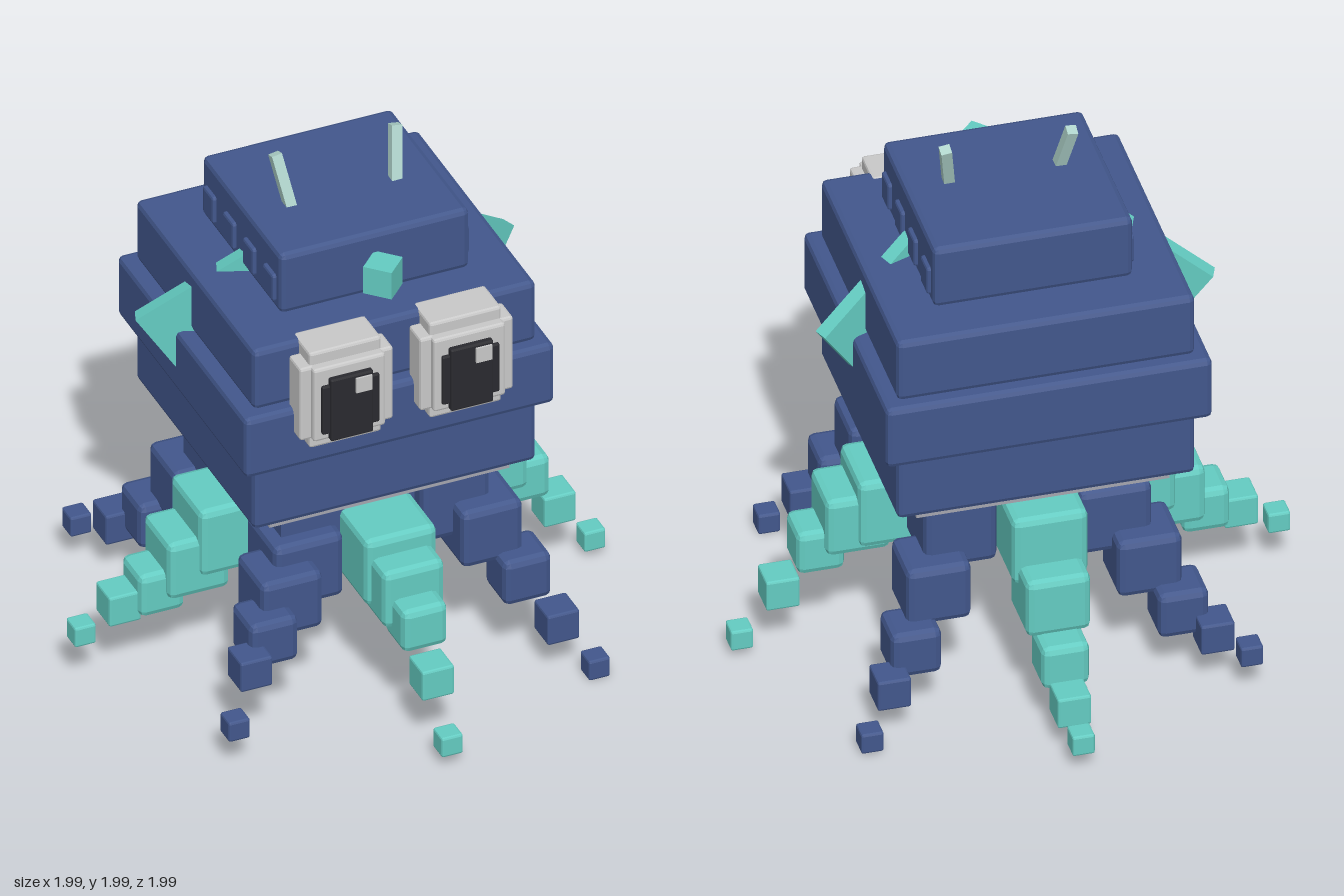
import * as THREE from 'three';
import { RoundedBoxGeometry } from 'three/addons/geometries/RoundedBoxGeometry.js';

const paint = (name, color) => {
  const m = new THREE.MeshStandardMaterial({ color });
  m.name = name;
  return m;
};

export function createModel() {
  const navy = paint('navy', 0x42578c);
  const teal = paint('teal', 0x64ccc2);
  const paleTeal = paint('pale teal', 0xb0d4cc);
  const white = paint('eye white', 0xc9c9c9);
  const black = paint('pupil black', 0x2a2a2f);
  const grey = paint('plate grey', 0xa5a6b0);
  const gold = paint('gold', 0xc8b064);

  const model = new THREE.Group();
  model.name = 'octopusRobot';

  const add = (parent, name, geometry, material, x = 0, y = 0, z = 0) => {
    const mesh = new THREE.Mesh(geometry, material);
    mesh.name = name;
    mesh.position.set(x, y, z);
    parent.add(mesh);
    return mesh;
  };
  const box = (parent, name, mat, w, h, d, x, y, z) =>
    add(parent, name, new THREE.BoxGeometry(w, h, d), mat, x, y, z);
  // Box with crisp bevelled edges
  const bevelBox = (parent, name, mat, w, h, d, x, y, z, r = 0.02) => {
    const g = new RoundedBoxGeometry(w, h, d, 1, r);
    g.computeVertexNormals();
    return add(parent, name, g, mat, x, y, z);
  };

  // Stacked body tiers: [name, width, depth, bottom, top]
  for (const [name, w, d, y0, y1] of [
    ['head', 0.71, 0.67, 1.565, 1.81],
    ['upperBody', 1.06, 1.01, 1.32, 1.565],
    ['middleBody', 1.16, 1.10, 1.075, 1.32],
    ['lowerBody', 1.06, 1.01, 0.82, 1.075],
  ]) bevelBox(model, name, navy, w, y1 - y0, d, 0, (y0 + y1) / 2, 0);
  box(model, 'basePlate', grey, 0.90, 0.04, 0.91, 0, 0.80, 0);
  box(model, 'core', navy, 0.71, 0.18, 0.68, 0, 0.69, 0);

  // Slanted braces under the plate, on opposite sides
  for (const s of [1, -1]) {
    const brace = box(model, 'brace', gold, 0.16, 0.06, 0.14, s * 0.38, 0.735, -s * 0.18);
    brace.rotation.z = s * Math.PI / 4;
  }

  for (const s of [1, -1]) {
    // Vents along the head
    for (const z of [0.255, 0.085, -0.085, -0.255])
      bevelBox(model, 'vent', navy, 0.06, 0.11, 0.09, s * 0.34, 1.655, z, 0.01);

    // Fin: tilted square plate hung from its outer corner
    const side = new THREE.Group();
    side.name = 'fin';
    side.position.set(s * 0.70, 1.37, -0.12);
    side.rotation.y = s * 0.37;
    model.add(side);
    const plate = new THREE.BoxGeometry(0.48, 0.34, 0.055);
    plate.translate(-s * 0.24, -0.17, 0);
    plate.rotateZ(-s * 0.61);
    add(side, 'finPlate', plate, teal);

    // Antenna leaning out and back
    const from = new THREE.Vector3(s * 0.195, 1.79, 0.06);
    const to = new THREE.Vector3(s * 0.225, 1.985, -0.008);
    const rod = box(model, 'antenna', paleTeal, 0.038, from.distanceTo(to), 0.038, 0, 0, 0);
    rod.position.lerpVectors(from, to, 0.5);
    rod.quaternion.setFromUnitVectors(new THREE.Vector3(0, 1, 0), to.sub(from).normalize());
  }

  // Brow gem
  box(model, 'gem', teal, 0.105, 0.11, 0.105, 0, 1.675, 0.40).rotation.y = Math.PI / 4;

  // Eyes: stepped blocks with a pupil and a highlight
  for (const x of [-0.225, 0.225]) {
    const eye = new THREE.Group();
    eye.name = 'eye';
    eye.position.set(x, 1.37, 0);
    model.add(eye);
    bevelBox(eye, 'eyeTall', white, 0.27, 0.395, 0.145, 0, 0, 0.522, 0.01);
    bevelBox(eye, 'eyeWide', white, 0.35, 0.30, 0.10, 0, 0, 0.555, 0.01);
    bevelBox(eye, 'eyeFront', white, 0.27, 0.30, 0.10, 0, 0, 0.58, 0.01);
    bevelBox(eye, 'pupilWide', black, 0.215, 0.20, 0.04, 0, -0.02, 0.622, 0.006);
    bevelBox(eye, 'pupilTall', black, 0.16, 0.255, 0.04, 0, -0.02, 0.632, 0.006);
    box(eye, 'highlight', white, 0.06, 0.06, 0.009, 0.042, 0.065, 0.655);
  }

  // Tentacles: shrinking cubes; heights run from root to tip
  const tentacle = (name, mat, dx, dz, radii, sizes, heights) => {
    const g = new THREE.Group();
    g.name = name;
    model.add(g);
    heights.forEach((y, i) => bevelBox(g, 'segment', mat, sizes[i], sizes[i], sizes[i],
      dx * radii[i], y, dz * radii[i], i < 3 ? 0.025 : 0.008));
  };
  const straight = [0.43, 0.56, 0.685, 0.815, 0.955];
  const diagonal = [0.275, 0.375, 0.475, 0.575, 0.675];
  const tealSizes = [0.27, 0.23, 0.17, 0.12, 0.08];
  const navySizes = [0.26, 0.23, 0.18, 0.12, 0.08];
  for (const [dx, dz, heights] of [
    [1, 0, [0.58, 0.53, 0.42, 0.25, 0.07]],
    [-1, 0, [0.53, 0.43, 0.335, 0.29, 0.205]],
    [0, 1, [0.56, 0.51, 0.43, 0.27, 0.085]],
    [0, -1, [0.64, 0.47, 0.28, 0.165, 0.107]],
  ]) tentacle('tealTentacle', teal, dx, dz, straight, tealSizes, heights);
  for (const [dx, dz, heights] of [
    [1, 1, [0.64, 0.54, 0.37, 0.19, 0.04]],
    [1, -1, [0.64, 0.46, 0.28, 0.18, 0.05]],
    [-1, 1, [0.51, 0.45, 0.37, 0.315, 0.16]],
    [-1, -1, [0.60, 0.44, 0.27, 0.20, 0.16]],
  ]) tentacle('navyTentacle', navy, dx, dz, diagonal, navySizes, heights);

  return model;
}
